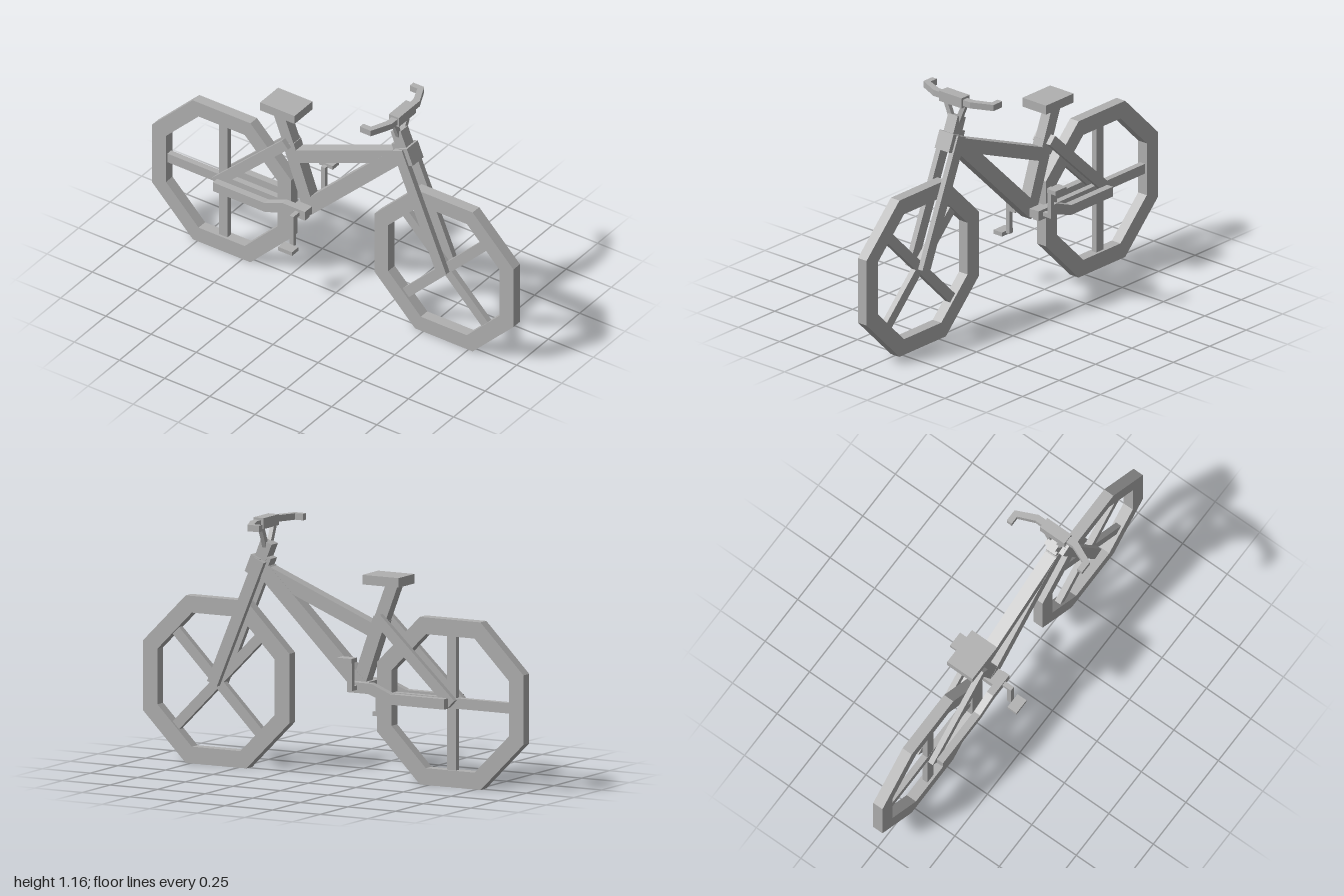
import * as THREE from 'three';

const grey = new THREE.MeshStandardMaterial({ color: 0xb0b0b0 });
grey.name = 'grey';

export function createModel() {
  const bike = new THREE.Group();
  bike.name = 'bicycle';

  const add = (name, geometry, parent = bike) => {
    const mesh = new THREE.Mesh(geometry, grey);
    mesh.name = name;
    parent.add(mesh);
    return mesh;
  };

  // Axis-aligned box given by its limits
  const box = (name, x0, x1, y0, y1, z0, z1) => {
    const m = add(name, new THREE.BoxGeometry(x1 - x0, y1 - y0, Math.abs(z1 - z0)));
    m.position.set((x0 + x1) / 2, (y0 + y1) / 2, (z0 + z1) / 2);
    return m;
  };

  // Square bar running between two points in the side plane
  const bar = (name, [xa, ya], [xb, yb], width, depth, z = 0, parent = bike) => {
    const len = Math.hypot(xb - xa, yb - ya);
    const m = add(name, new THREE.BoxGeometry(len, width, depth), parent);
    m.position.set((xa + xb) / 2, (ya + yb) / 2, z);
    m.rotation.z = Math.atan2(yb - ya, xb - xa);
    return m;
  };

  // Outline in the side plane, extruded and centred on z
  const plate = (name, shape, depth, z = 0, parent = bike) => {
    const g = new THREE.ExtrudeGeometry(shape, { depth, bevelEnabled: false });
    g.translate(0, 0, -depth / 2);
    const m = add(name, g, parent);
    m.position.z = z;
    return m;
  };
  const outline = (points) => new THREE.Shape(points.map(([x, y]) => new THREE.Vector2(x, y)));

  // Octagonal wheels with four spokes
  const octagon = (apothem) => {
    const r = apothem / Math.cos(Math.PI / 8);
    return Array.from({ length: 8 }, (_, i) => {
      const a = Math.PI / 8 + i * Math.PI / 4;
      return new THREE.Vector2(r * Math.cos(a), r * Math.sin(a));
    });
  };
  const wheel = (name, x, spokeAngle) => {
    const group = new THREE.Group();
    group.name = name;
    group.position.set(x, 0.385, 0);
    bike.add(group);
    const rim = new THREE.Shape(octagon(0.385));
    rim.holes.push(new THREE.Path(octagon(0.308)));
    plate('rim', rim, 0.052, 0, group);
    for (let i = 0; i < 2; i++) {
      const a = spokeAngle + i * Math.PI / 2;
      const c = 0.315 * Math.cos(a), s = 0.315 * Math.sin(a);
      bar('spoke', [-c, -s], [c, s], 0.048, 0.03 - i * 0.002, 0, group);
    }
  };
  wheel('rearWheel', -0.615, 0);
  wheel('frontWheel', 0.615, Math.PI / 4);

  // Main frame
  bar('topTube', [-0.215, 0.684], [0.37, 0.918], 0.064, 0.058);
  bar('downTube', [-0.15, 0.42], [0.36, 0.915], 0.074, 0.06);
  bar('seatTube', [-0.245, 0.745], [-0.14, 0.45], 0.066, 0.058);
  bar('seatPost', [-0.31, 0.91], [-0.235, 0.715], 0.06, 0.052);
  box('seat', -0.37, -0.18, 0.903, 0.947, -0.071, 0.071);

  // Head and steering column
  bar('headTube', [0.355, 0.985], [0.395, 0.885], 0.062, 0.056);
  bar('headBlock', [0.399, 0.98], [0.432, 0.9], 0.05, 0.086);
  bar('stem', [0.35, 1.05], [0.39, 0.95], 0.06, 0.058);
  box('handlebarClamp', 0.34, 0.395, 1.115, 1.165, -0.068, 0.068);

  for (const side of [1, -1]) {
    // Fork legs and seat stays
    bar('forkLeg', [0.375, 0.967], [0.621, 0.38], 0.056, 0.027, side * 0.0395);
    bar('seatStay', [-0.245, 0.75], [-0.635, 0.385], 0.05, 0.026, side * 0.041);

    // Stepped chain stays
    plate('chainStay', outline([
      [-0.62, 0.365], [-0.33, 0.365], [-0.22, 0.405], [-0.11, 0.405],
      [-0.11, 0.453], [-0.235, 0.453], [-0.335, 0.413], [-0.62, 0.413],
    ]), 0.035, side * 0.071);

    // Slanted struts below the handlebar
    const strut = add('handlebarStrut', new THREE.BoxGeometry(0.02, 0.115, 0.024));
    strut.position.set(0.36, 1.08, side * 0.04);
    strut.rotation.x = side * 0.4;

    // Swept handlebar with grip
    const half = [
      [0.355, 0.06], [0.355, 0.105], [0.322, 0.184], [0.28, 0.184],
      [0.28, 0.212], [0.34, 0.212], [0.387, 0.11], [0.387, 0.06],
    ].map(([x, z]) => [x, -side * z]);
    const handlebar = plate('handlebar', outline(half), 0.03);
    handlebar.rotation.x = -Math.PI / 2;
    handlebar.position.y = 1.14;

    // Crank arms and pedals, one down and one up
    const pedalY = side > 0 ? 0.275 : 0.567;
    box('crankArm', -0.163, -0.141, Math.min(pedalY, 0.42), Math.max(pedalY, 0.44), side * 0.115, side * 0.136);
    box('pedal', -0.19, -0.113, pedalY - 0.01, pedalY + 0.01, side * 0.136, side * 0.187);
  }

  // Bottom bracket and crank axle
  box('bottomBracket', -0.19, -0.112, 0.41, 0.45, -0.06, 0.06);
  box('crankAxle', -0.163, -0.141, 0.42, 0.44, -0.12, 0.12);

  return bike;
}
